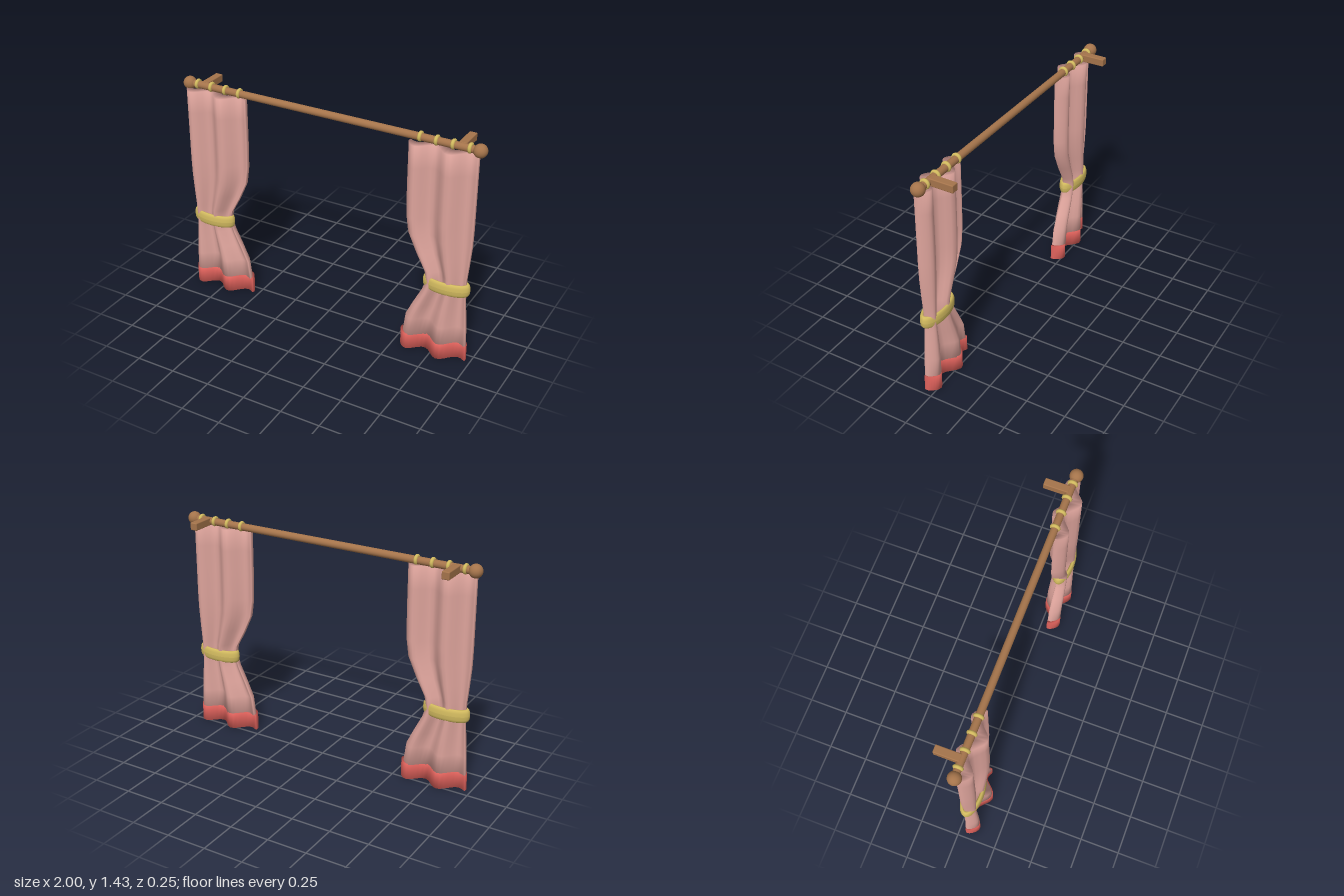
import * as THREE from 'three';
import { RoundedBoxGeometry } from 'three/addons/geometries/RoundedBoxGeometry.js';

const wood = new THREE.MeshStandardMaterial({ name: 'wood', color: 0xa5744b });
const brass = new THREE.MeshStandardMaterial({ name: 'brass', color: 0xd2ba5f });
const pinkCloth = new THREE.MeshStandardMaterial({ name: 'pinkCloth', color: 0xdea49c });
const redTrim = new THREE.MeshStandardMaterial({ name: 'redTrim', color: 0xe0625c });

const ROD_Y = 1.392, ROD_Z = 0.032, CLOTH_Z = 0.0525;

function add(parent, name, geometry, material, x = 0, y = 0, z = 0) {
  const mesh = new THREE.Mesh(geometry, material);
  mesh.name = name;
  mesh.position.set(x, y, z);
  parent.add(mesh);
  return mesh;
}

// Closed, softly pleated body: each row is [height, inner edge, outer edge, half depth]
function pleatedBody(rows, side) {
  const n = 56, pos = [], index = [];
  rows.forEach(([y, inner, outer, depth], r) => {
    const mid = side * (inner + outer) / 2, halfWidth = (outer - inner) / 2;
    for (let i = 0; i < n; i++) {
      const angle = (i / n) * Math.PI * 2, c = Math.cos(angle), s = Math.sin(angle);
      const fold = 0.48 * Math.sin(2 * Math.PI * (c + 1));
      const thick = 0.52 * Math.sign(s) * Math.pow(Math.abs(s), 0.6);
      pos.push(mid + halfWidth * c, y, CLOTH_Z + depth * (fold + thick));
      if (r > 0) {
        const d = r * n + i, e = r * n + (i + 1) % n, a = d - n, b = e - n;
        index.push(a, d, b, b, d, e);
      }
    }
  });
  // Caps, joined front to back
  const top = (rows.length - 1) * n;
  for (let i = 0; i < n / 2; i++) {
    const p = i, p1 = i + 1, q = (n - i) % n, q1 = n - i - 1;
    if (p1 !== q1) {
      index.push(p, p1, q1, top + p, top + q1, top + p1);
    }
    if (p !== q) {
      index.push(p, q1, q, top + p, top + q, top + q1);
    }
  }
  const g = new THREE.BufferGeometry();
  g.setAttribute('position', new THREE.Float32BufferAttribute(pos, 3));
  g.setIndex(index);
  g.computeVertexNormals();
  return g;
}

const clothRows = [
  [0.1, 0.552, 0.962, 0.071],
  [0.22, 0.568, 0.958, 0.069],
  [0.32, 0.615, 0.95, 0.065],
  [0.42, 0.665, 0.943, 0.06],
  [0.5, 0.69, 0.94, 0.057],
  [0.57, 0.675, 0.943, 0.06],
  [0.68, 0.615, 0.953, 0.065],
  [0.8, 0.56, 0.962, 0.07],
  [0.91, 0.545, 0.964, 0.0725],
  [1.08, 0.542, 0.964, 0.0725],
  [1.23, 0.542, 0.964, 0.0725],
  [1.37, 0.542, 0.964, 0.0725],
];
const hemRows = [
  [0, 0.538, 0.968, 0.0745],
  [0.105, 0.538, 0.968, 0.0745],
];

// Oval band with a rounded, upright section
function tieBand() {
  const g = new THREE.TorusGeometry(1, 0.5, 14, 48);
  g.rotateX(Math.PI / 2);
  const p = g.attributes.position;
  for (let i = 0; i < p.count; i++) {
    const x = p.getX(i), z = p.getZ(i), r = Math.hypot(x, z);
    const out = (r - 1) / 0.5, up = p.getY(i) / 0.5;
    const tall = Math.sign(up) * Math.pow(Math.abs(up), 0.8);
    p.setXYZ(i, (x / r) * (0.131 + 0.018 * out), 0.041 * tall, (z / r) * (0.051 + 0.014 * out));
  }
  g.computeVertexNormals();
  return g;
}

export function createModel() {
  const model = new THREE.Group();
  model.name = 'curtains';

  // Rod
  const rod = add(model, 'rod', new THREE.CylinderGeometry(0.023, 0.023, 1.9, 20), wood, 0, ROD_Y, ROD_Z);
  rod.rotation.z = Math.PI / 2;

  for (const side of [1, -1]) {
    const half = new THREE.Group();
    half.name = side > 0 ? 'leftCurtain' : 'rightCurtain';
    model.add(half);

    // Rod fittings
    add(half, 'finial', new THREE.SphereGeometry(0.041, 24, 16), wood, side * 0.959, ROD_Y, ROD_Z + 0.002);
    add(half, 'wallBracket', new RoundedBoxGeometry(0.048, 0.048, 0.155, 2, 0.006), wood,
      side * 0.85, ROD_Y, -0.0475);
    for (const x of [0.6, 0.7, 0.8, 0.9]) {
      const ring = add(half, 'ring', new THREE.TorusGeometry(0.0205, 0.0115, 10, 24), brass, side * x, ROD_Y + 0.003, ROD_Z);
      ring.rotation.y = Math.PI / 2;
    }

    // Cloth, hem and tie
    add(half, 'cloth', pleatedBody(clothRows, side), pinkCloth);
    add(half, 'hem', pleatedBody(hemRows, side), redTrim);
    add(half, 'tieBand', tieBand(), brass, side * 0.817, 0.495, CLOTH_Z);
  }
  return model;
}
